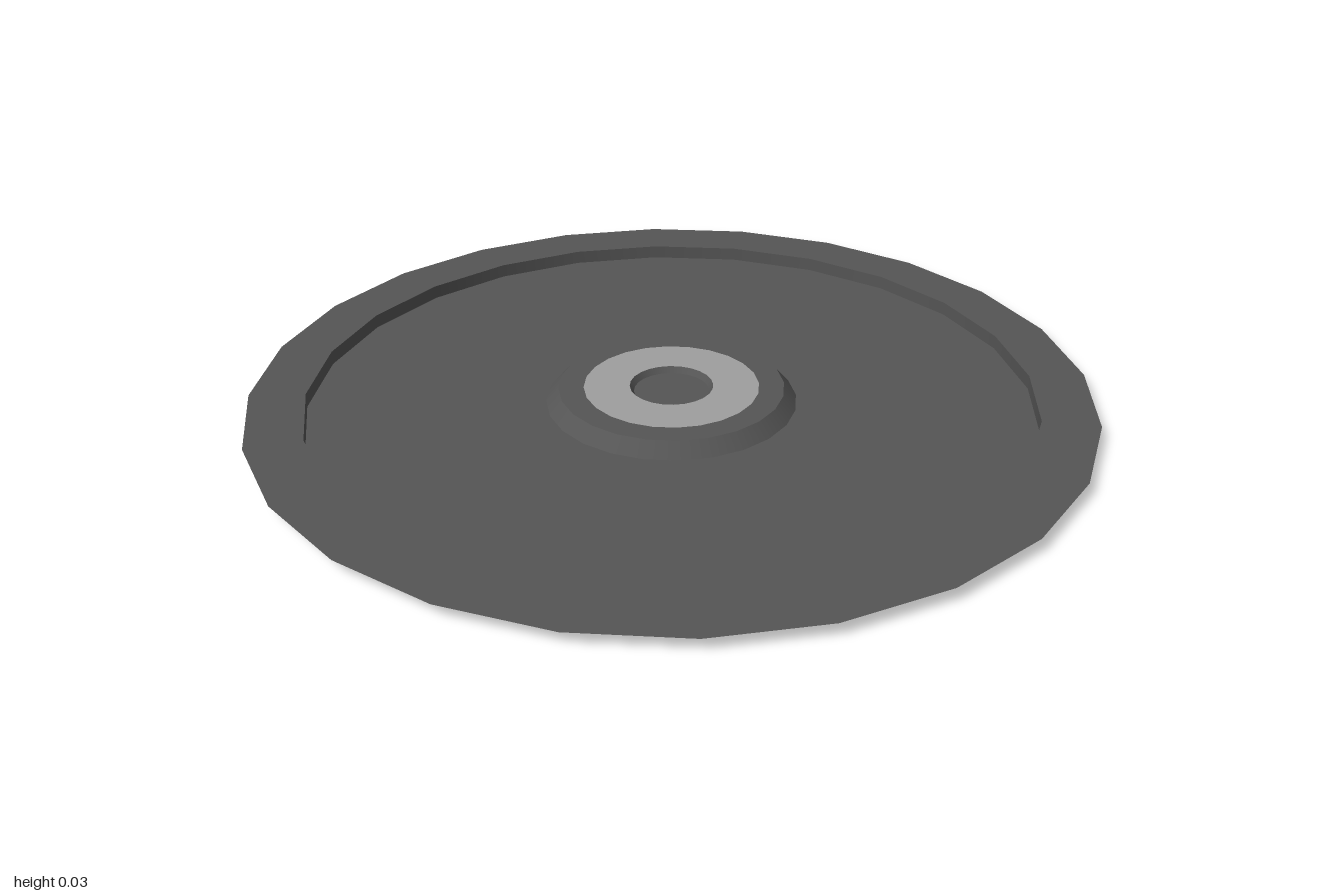
import * as THREE from 'three';

const SEGMENTS = 24;

export function createModel() {
  const model = new THREE.Group();
  model.name = 'pressedDisc';

  const darkGrey = new THREE.MeshStandardMaterial({ color: 0x555555, side: THREE.DoubleSide });
  darkGrey.name = 'darkGrey';
  const lightGrey = new THREE.MeshStandardMaterial({ color: 0x9f9f9f, side: THREE.DoubleSide });
  lightGrey.name = 'lightGrey';

  // One band of the thin sheet, from an inner to an outer [radius, height];
  // separate bands keep the folds sharp
  function band(name, inner, outer, material) {
    const points = [outer, inner].map(([r, y]) => new THREE.Vector2(r, y));
    const mesh = new THREE.Mesh(new THREE.LatheGeometry(points, SEGMENTS), material);
    mesh.name = name;
    model.add(mesh);
  }

  const top = 0.034;

  // Raised flange and sunken pan
  band('outerFlange', [0.866, top], [1, top], darkGrey);
  band('panWall', [0.866, 0], [0.866, top], darkGrey);
  band('panFloor', [0.3, 0], [0.866, 0], darkGrey);

  // Raised hub with a light ring
  band('hubSlope', [0.27, top], [0.3, 0], darkGrey);
  band('hubShoulder', [0.21, top], [0.27, top], darkGrey);
  band('hubRing', [0.1, top], [0.21, top], lightGrey);

  // Small dished centre
  band('centreWall', [0.09, 0.02], [0.1, top], darkGrey);
  band('centreFloor', [0, 0.02], [0.09, 0.02], darkGrey);

  return model;
}
